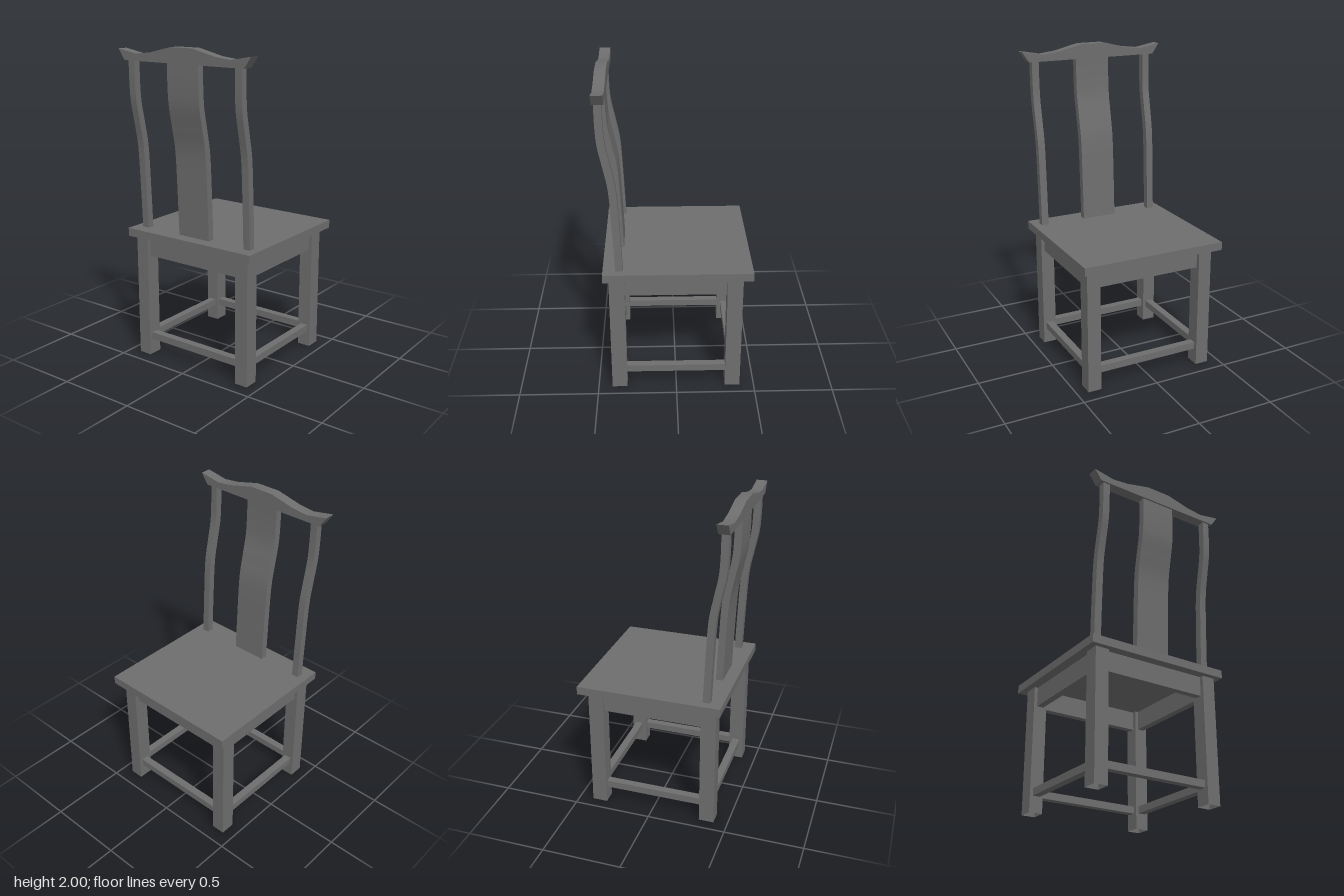
import * as THREE from 'three';
import { toCreasedNormals } from 'three/addons/utils/BufferGeometryUtils.js';

const material = new THREE.MeshStandardMaterial({ color: 0x6e6e6e, side: THREE.DoubleSide });

export function createModel() {
  const chair = new THREE.Group();
  chair.name = 'chair';

  const add = (name, geometry) => {
    const mesh = new THREE.Mesh(geometry, material);
    mesh.name = name;
    chair.add(mesh);
    return mesh;
  };

  // Box given by its limits on each axis
  const box = (name, [x0, x1], [y0, y1], [z0, z1]) => {
    const mesh = add(name, new THREE.BoxGeometry(x1 - x0, y1 - y0, z1 - z0));
    mesh.position.set((x0 + x1) / 2, (y0 + y1) / 2, (z0 + z1) / 2);
    return mesh;
  };

  // Seat board
  box('seat', [-0.446, 0.466], [0.8, 0.852], [-0.469, 0.467]);

  // Legs: square tubes, open at the ends
  const legX = [-0.364, 0.361], legZ = [-0.385, 0.385];
  const legW = 0.096, legD = 0.087;
  for (const x of legX) {
    for (const z of legZ) {
      const leg = box('leg', [x - legW / 2, x + legW / 2], [0, 0.8], [z - legD / 2, z + legD / 2]);
      const index = Array.from(leg.geometry.index.array);
      index.splice(12, 12); // drop top and bottom faces
      leg.geometry.setIndex(index);
    }
  }

  // Aprons and stretchers between the legs, centred on them
  const rails = [['apron', [0.675, 0.8], 0.022], ['stretcher', [0.102, 0.148], 0.024]];
  for (const [name, ys, half] of rails) {
    for (const z of legZ) {
      box('side ' + name, [legX[0] + legW / 2, legX[1] - legW / 2], ys, [z - half, z + half]);
    }
    for (const x of legX) {
      box('cross ' + name, [x - half, x + half], ys, [legZ[0] + legD / 2, legZ[1] - legD / 2]);
    }
  }

  // S-curved back: one side profile swept to different widths
  const curve = new THREE.SplineCurve([
    [-0.346, 0.852], [-0.357, 1.13], [-0.371, 1.38], [-0.398, 1.53],
    [-0.424, 1.66], [-0.432, 1.78], [-0.433, 1.912],
  ].map(([x, y]) => new THREE.Vector2(x, y)));
  const line = curve.getPoints(30);
  const half = 0.0225;
  const profile = new THREE.Shape([
    ...line.map((p) => new THREE.Vector2(p.x + half, p.y)),
    ...line.slice().reverse().map((p) => new THREE.Vector2(p.x - half, p.y)),
  ]);
  const backPart = (name, z0, z1) => {
    const geometry = new THREE.ExtrudeGeometry(profile, { depth: z1 - z0, bevelEnabled: false });
    geometry.translate(0, 0, z0);
    add(name, toCreasedNormals(geometry, 0.5));
  };
  backPart('rightPost', -0.415, -0.369);
  backPart('leftPost', 0.369, 0.415);
  backPart('splat', -0.115, 0.114);

  // Crest rail with upturned ends
  const halfCrest = [[0.437, 1.908], [0.483, 1.975], [0.345, 1.95], [0.24, 1.962], [0.08, 2]];
  const crestShape = new THREE.Shape([
    ...halfCrest,
    ...halfCrest.slice().reverse().map(([z, y]) => [-z, y]),
  ].map(([z, y]) => new THREE.Vector2(z, y)));
  const crest = new THREE.ExtrudeGeometry(crestShape, { depth: 0.068, bevelEnabled: false });
  crest.rotateY(Math.PI / 2).translate(-0.466, 0, 0);
  add('crestRail', toCreasedNormals(crest, 0.5));

  return chair;
}
